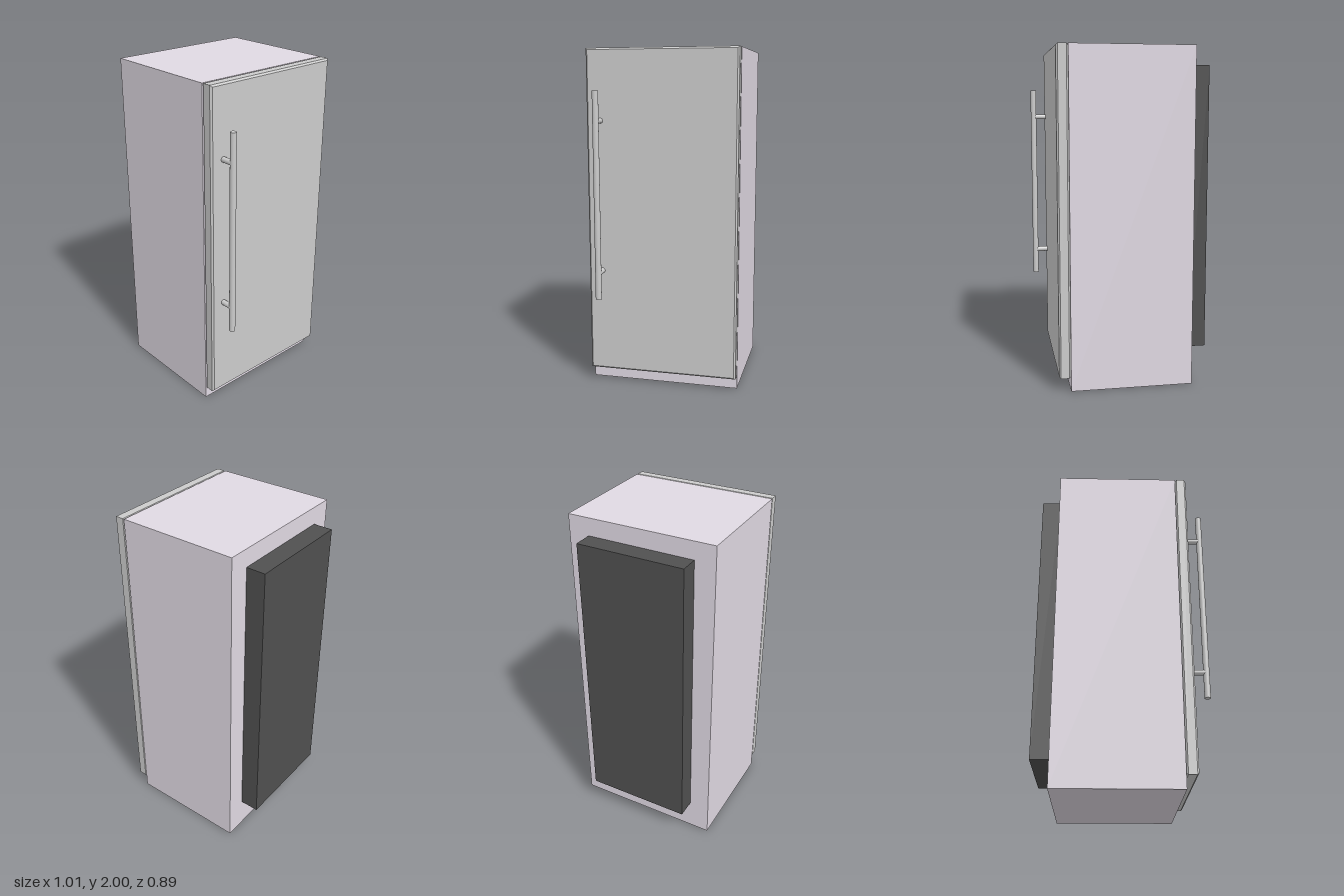
import * as THREE from 'three';

const paint = (color) => new THREE.MeshStandardMaterial({ color });
const bodyMat = paint(0xe0d9e3);
const greyMat = paint(0xcccccc);
const darkMat = paint(0x505050);

function add(parent, name, geometry, material, x, y, z) {
  const mesh = new THREE.Mesh(geometry, material);
  mesh.name = name;
  mesh.position.set(x, y, z);
  parent.add(mesh);
  return mesh;
}

// Box given by its extents on each axis
function box(parent, name, material, [x0, x1], [y0, y1], [z0, z1]) {
  return add(parent, name, new THREE.BoxGeometry(x1 - x0, y1 - y0, z1 - z0), material,
    (x0 + x1) / 2, (y0 + y1) / 2, (z0 + z1) / 2);
}

// Slab with chamfered edges, its thickness running along +x from 0
function chamferedSlab(width, height, thickness, bevel) {
  const w = width / 2 - bevel, h = height / 2 - bevel;
  const shape = new THREE.Shape([[-w, -h], [w, -h], [w, h], [-w, h]]
    .map(([x, y]) => new THREE.Vector2(x, y)));
  const geometry = new THREE.ExtrudeGeometry(shape, {
    depth: thickness - 2 * bevel, bevelEnabled: true,
    bevelThickness: bevel, bevelSize: bevel, bevelSegments: 1,
  });
  return geometry.translate(0, 0, bevel).rotateY(Math.PI / 2);
}

export function createModel() {
  const fridge = new THREE.Group();
  fridge.name = 'refrigerator';

  // Cabinet and rear condenser housing
  box(fridge, 'cabinet', bodyMat, [-0.39, 0.338], [0, 2], [-0.447, 0.447]);
  box(fridge, 'rearCondenser', darkMat, [-0.505, -0.39], [0.19, 1.895], [-0.323, 0.323]);

  // Door, leaving the plinth uncovered
  const door = new THREE.Group();
  door.name = 'doorAssembly';
  fridge.add(door);
  add(door, 'door', chamferedSlab(0.892, 1.92, 0.069, 0.01), greyMat, 0.338, 1.04, 0);

  // Bar handle on two posts
  const handle = new THREE.Group();
  handle.name = 'handle';
  handle.position.z = 0.363;
  door.add(handle);
  add(handle, 'handleBar', new THREE.CylinderGeometry(0.018, 0.018, 1.22, 32), greyMat, 0.485, 1.15, 0);
  for (const [name, y] of [['lowerHandlePost', 0.697], ['upperHandlePost', 1.587]]) {
    add(handle, name, new THREE.CylinderGeometry(0.016, 0.016, 0.085, 32).rotateZ(Math.PI / 2),
      greyMat, 0.4425, y, 0);
  }
  return fridge;
}
